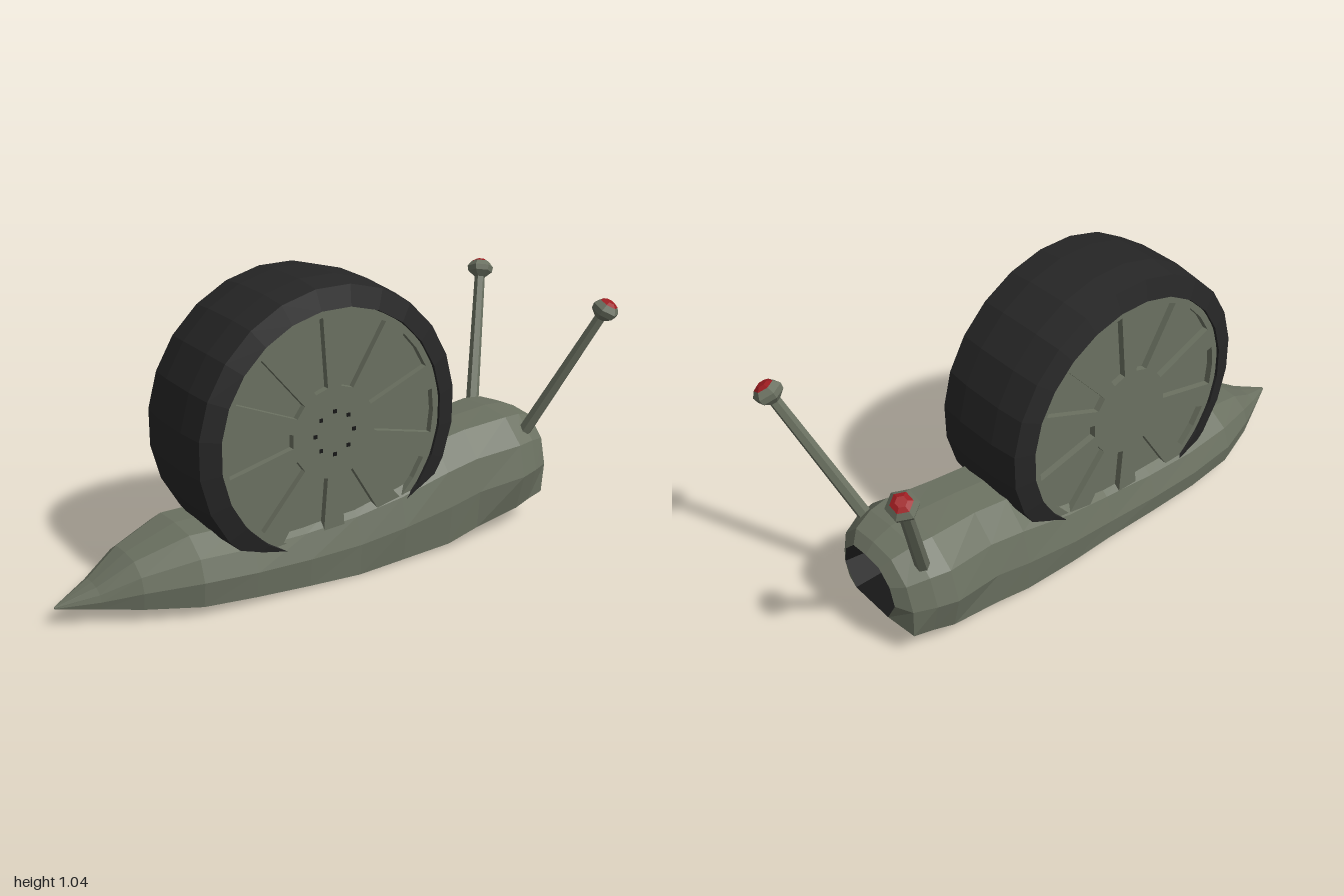
import * as THREE from 'three';

const mat = (name, color, extra = {}) => {
  const m = new THREE.MeshStandardMaterial({ color, flatShading: true, ...extra });
  m.name = name;
  return m;
};

// Cross-section of the body: open arch from bottom +z over the top to bottom -z
function section([x, yb, yt, w, bottom = 0.95, skew = 0, zc = 0]) {
  const h = yt - yb;
  const half = [[bottom, 0], [1, 0.4], [0.87, 0.73], [0.5, 0.97]];
  const pts = half.map(([a, b]) => [x, yb + b * h, zc + a * w]);
  pts.push([x, yt, zc]);
  half.reverse().forEach(([a, b]) => pts.push([x, yb + b * h + (b === 0 ? skew : 0), zc - a * w]));
  return pts;
}

// Join consecutive sections over a range of columns (column 8 closes the underside)
function loft(rows, from, to) {
  const rings = rows.map(section), pos = [];
  for (let i = 0; i < rings.length - 1; i++) {
    for (let j = from; j <= to; j++) {
      const k = (j + 1) % 9;
      const a = rings[i][j], b = rings[i + 1][j], c = rings[i + 1][k], d = rings[i][k];
      pos.push(...a, ...b, ...c, ...a, ...c, ...d);
    }
  }
  const g = new THREE.BufferGeometry();
  g.setAttribute('position', new THREE.Float32BufferAttribute(pos, 3));
  g.computeVertexNormals();
  return g;
}

export function createModel() {
  const model = new THREE.Group();
  model.name = 'wheelSnail';
  const skin = mat('olive grey', 0x6b7161, { side: THREE.DoubleSide });
  const rubber = mat('tyre black', 0x262626);
  const dark = mat('sole black', 0x171717, { side: THREE.DoubleSide });
  const red = mat('eye red', 0x9c1c20);
  const add = (parent, name, geo, material) => {
    const m = new THREE.Mesh(geo, material);
    m.name = name;
    parent.add(m);
    return m;
  };

  // Body: x, bottom, top, half width, bottom width factor, skew, z centre
  const body = [
    [-1, 0.065, 0.072, 0.004, 0.95, 0, -0.012],
    [-0.87, 0.06, 0.125, 0.075, 0.95, 0, -0.01],
    [-0.75, 0.052, 0.2, 0.14, 0.95, 0.01, -0.01],
    [-0.57, 0.04, 0.262, 0.21, 0.95, 0.02, -0.01],
    [-0.38, 0.028, 0.26, 0.222, 0.96, 0.025, -0.01],
    [-0.18, 0.015, 0.27, 0.222, 0.96, 0.03, -0.005],
    [0.02, 0.003, 0.29, 0.216, 0.97, 0.035],
    [0.2, 0.015, 0.33, 0.226, 0.95, 0.025],
    [0.4, 0.022, 0.39, 0.222, 0.95, 0.02],
    [0.53, 0.052, 0.408, 0.217, 0.95, 0.01],
    [0.71, 0.085, 0.424, 0.243, 0.85],
    [0.78, 0.098, 0.42, 0.225, 0.85],
    [0.85, 0.11, 0.395, 0.19, 0.95],
  ];
  add(model, 'body', loft(body, 0, 7), skin);
  add(model, 'sole', loft(body, 8, 8), dark);

  // Lip and hollow mouth
  const mouth = [0.882, 0.148, 0.36, 0.137, 0.65];
  add(model, 'lip', loft([body[body.length - 1], mouth], 0, 8), skin);
  add(model, 'mouthCavity', loft([mouth, [0.78, 0.16, 0.345, 0.12, 0.65],
    [0.62, 0.2, 0.3, 0.06, 0.65], [0.61, 0.25, 0.251, 0.001]], 0, 8), dark);

  // Wheel carried as a shell, axle along z
  const wheel = new THREE.Group();
  wheel.name = 'wheel';
  wheel.position.set(-0.075, 0.54, 0);
  model.add(wheel);
  const profile = [[0.42, -0.16], [0.425, -0.2], [0.495, -0.18], [0.508, -0.08],
    [0.508, 0.08], [0.495, 0.18], [0.425, 0.2], [0.42, 0.16]].map(p => new THREE.Vector2(...p));
  add(wheel, 'tyre', new THREE.LatheGeometry(profile, 24, Math.PI / 24).rotateX(Math.PI / 2), rubber);
  add(wheel, 'rimCore', new THREE.CylinderGeometry(0.421, 0.421, 0.336, 24).rotateX(Math.PI / 2), skin);

  // Rim face with ten wedge openings between the spokes
  const face = new THREE.Shape().absarc(0, 0, 0.422, 0, Math.PI * 2);
  for (let i = 0; i < 10; i++) {
    const mid = Math.PI / 2 + (i + 0.5) * Math.PI / 5;
    const hole = [];
    for (const [r, t] of [[0.16, -1], [0.4, -1], [0.4, 0], [0.4, 1], [0.16, 1]]) {
      const a = mid + t * (Math.PI / 10 - Math.asin((r > 0.2 ? 0.045 : 0.026) / r));
      hole.push(new THREE.Vector2(Math.cos(a) * r, Math.sin(a) * r));
    }
    face.holes.push(new THREE.Path(hole));
  }
  const faceGeo = new THREE.ExtrudeGeometry(face, { depth: 0.024, bevelEnabled: false, curveSegments: 24 });
  for (const s of [1, -1]) {
    const side = new THREE.Group();
    side.name = s > 0 ? 'frontRim' : 'backRim';
    if (s < 0) side.rotation.y = Math.PI;
    wheel.add(side);
    add(side, 'rimFace', faceGeo, skin).position.z = 0.167;
    // Wheel bolts
    for (let i = 0; s > 0 && i < 8; i++) {
      const a = i * Math.PI / 4;
      add(side, 'bolt', new THREE.BoxGeometry(0.013, 0.013, 0.004), dark)
        .position.set(Math.cos(a) * 0.075, Math.sin(a) * 0.075, 0.192);
    }
  }

  // Eye stalks with six-sided knobs and red eyes
  const up = new THREE.Vector3(0, 1, 0);
  const knob = [[0.018, -0.005], [0.046, 0.018], [0.05, 0.038], [0.034, 0.058]].map(p => new THREE.Vector2(...p));
  for (const s of [1, -1]) {
    const base = new THREE.Vector3(0.755, 0.3, s * 0.13);
    const dir = new THREE.Vector3(0.935, 0.81, s * 0.335).sub(base);
    const len = dir.length();
    const stalk = new THREE.Group();
    stalk.name = s > 0 ? 'leftEyeStalk' : 'rightEyeStalk';
    stalk.position.copy(base);
    stalk.quaternion.setFromUnitVectors(up, dir.normalize());
    add(stalk, 'stalk', new THREE.CylinderGeometry(0.02, 0.025, len, 6), skin).position.y = len / 2;
    add(stalk, 'knob', new THREE.LatheGeometry(knob, 6), skin).position.y = len;
    add(stalk, 'eye', new THREE.CylinderGeometry(0.018, 0.034, 0.009, 6), red).position.y = len + 0.0625;
    model.add(stalk);
  }
  return model;
}
